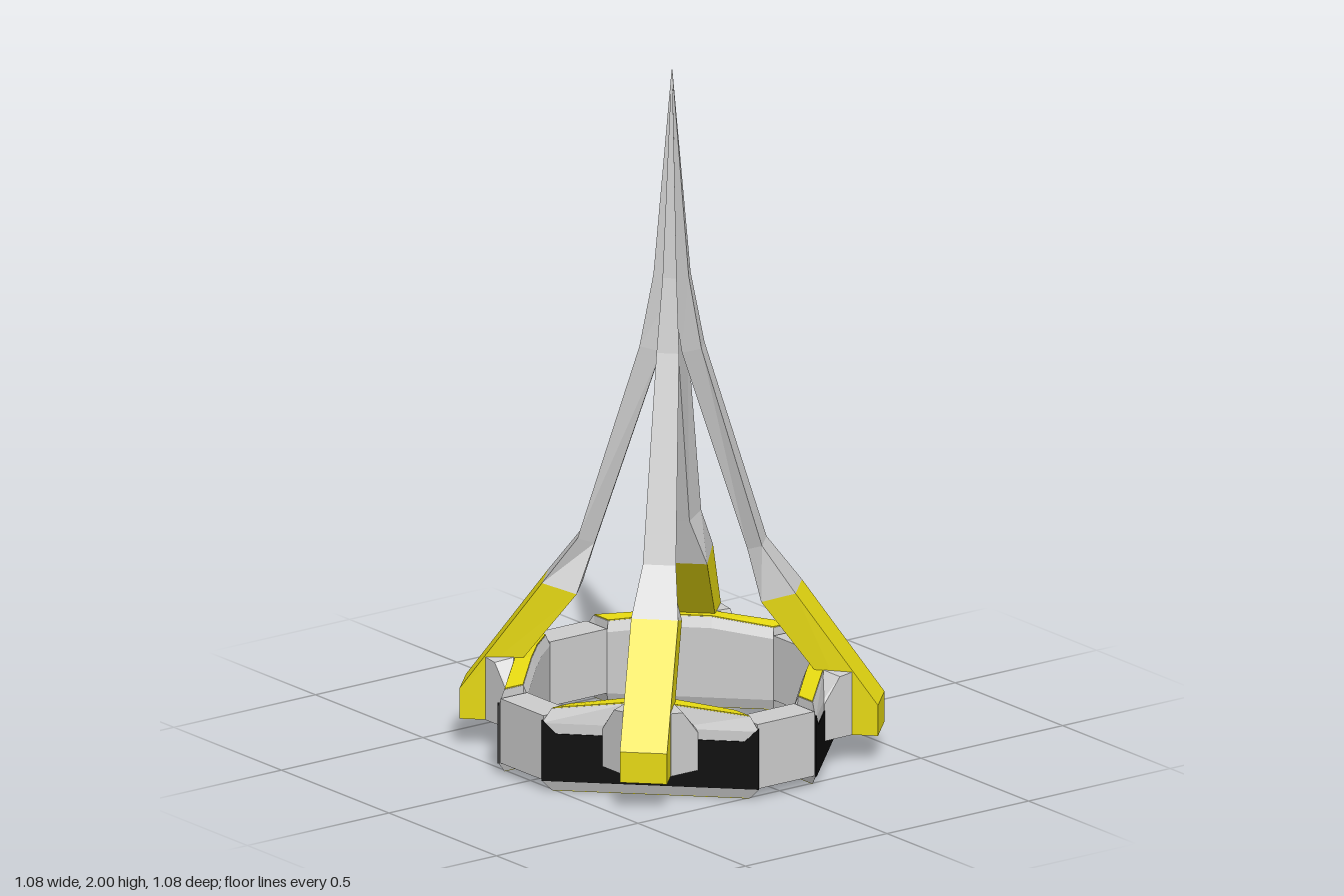
import * as THREE from 'three';
import { ConvexGeometry } from 'three/addons/geometries/ConvexGeometry.js';

// Flat-faced skin over a row of cross-section loops, closed at both ends.
function loft(loops) {
  const n = loops[0].length, tris = [];
  for (let s = 0; s < loops.length - 1; s++) {
    for (let i = 0; i < n; i++) {
      const j = (i + 1) % n, a = loops[s], b = loops[s + 1];
      tris.push([a[i], a[j], b[j]], [a[i], b[j], b[i]]);
    }
  }
  const first = loops[0], last = loops[loops.length - 1];
  for (let i = 1; i < n - 1; i++) {
    tris.push([first[0], first[i + 1], first[i]], [last[0], last[i], last[i + 1]]);
  }
  // Turn every face outward when the enclosed volume comes out negative
  let volume = 0;
  for (const [a, b, c] of tris) {
    volume += a[0] * (b[1] * c[2] - b[2] * c[1]) + a[1] * (b[2] * c[0] - b[0] * c[2]) + a[2] * (b[0] * c[1] - b[1] * c[0]);
  }
  if (volume < 0) tris.forEach((t) => t.reverse());
  const geo = new THREE.BufferGeometry();
  geo.setAttribute('position', new THREE.Float32BufferAttribute(tris.flat(2), 3));
  geo.computeVertexNormals();
  return geo;
}

// Four-sided leg section: outer depth, height, half width, then the same for the inner edge
const legLoop = ([uo, yo, wo, ui, yi, wi]) => [[-wo, yo, uo], [wo, yo, uo], [wi, yi, ui], [-wi, yi, ui]];

// Ring segment along x, mitred at the ends and slightly humped in the middle.
// Profile points are [depth, height, end inset].
function ringSegment(profile) {
  const end = profile.map(([u, y, e]) => [u - 0.1414 - e, y, u]);
  const mid = profile.map(([u, y]) => [0.06, y > 0.2 ? y + 0.025 : y, u]);
  const flip = (loop) => loop.map(([x, y, z]) => [-x, y, z]);
  return loft([flip(end), flip(mid), mid, end]);
}

export function createModel() {
  const model = new THREE.Group();
  model.name = 'spireTower';
  const paint = (name, color) => {
    const m = new THREE.MeshStandardMaterial({ color });
    m.name = name;
    return m;
  };
  const grey = paint('lightGrey', 0xcccccc);
  const yellow = paint('yellow', 0xe6d911);
  const black = paint('black', 0x0a0a0a);

  // Legs: yellow foot, then a grey shaft tapering to the shared tip
  const knee = [0.36, 0.49, 0.067, 0.262, 0.46, 0.064];
  const footGeo = loft([
    [0.594, 0.08, 0.067, 0.52, 0.08, 0.067],
    [0.594, 0.17, 0.067, 0.52, 0.13, 0.067],
    knee,
  ].map(legLoop));
  const shaftGeo = loft([
    knee,
    [0.262, 0.62, 0.047, 0.217, 0.6, 0.02],
    [0.088, 1.19, 0.032, 0.03, 1.17, 0.013],
    [0.05, 1.4, 0.02, 0.001, 1.34, 0.002],
    [0.001, 2, 0.001, 0, 2, 0.001],
  ].map(legLoop));

  // Diagonal ring segment with yellow strips above and below
  const segmentGeo = ringSegment([
    [0.378, 0.03, 0], [0.39, 0, 0.014], [0.438, 0, 0.014], [0.45, 0.03, 0],
    [0.45, 0.2, 0], [0.438, 0.24, 0.014], [0.39, 0.24, 0.014], [0.378, 0.21, 0],
  ]);
  const strip = (y) => ringSegment([
    [0.391, y, 0.016], [0.437, y, 0.016], [0.437, y + 0.004, 0.016], [0.391, y + 0.004, 0.016],
  ]);
  const topStripGeo = strip(0.239);
  const bottomStripGeo = strip(-0.002);

  // Black outer panel with raised corners
  const panelShape = new THREE.Shape([
    [-0.308, 0.03], [0.308, 0.03], [0.308, 0.21], [0.268, 0.17], [-0.268, 0.17], [-0.308, 0.21],
  ].map(([x, y]) => new THREE.Vector2(x, y)));
  const panelGeo = new THREE.ExtrudeGeometry(panelShape, { depth: 0.005, bevelEnabled: false });

  // Tapered housing joining foot and ring
  const housingPoints = [];
  for (const s of [-1, 1]) {
    for (const [x, y, z] of [
      [0.136, 0.08, 0.452], [0.136, 0.19, 0.452], [0.098, 0.26, 0.49], [0.068, 0.08, 0.52],
      [0.068, 0.265, 0.52], [0.068, 0.268, 0.44], [0.136, 0.08, 0.43], [0.136, 0.19, 0.44],
    ]) housingPoints.push(new THREE.Vector3(s * x, y, z));
  }
  const housingGeo = new ConvexGeometry(housingPoints);

  // Straight ring block
  const blockGeo = new THREE.BoxGeometry(0.2, 0.19, 0.095);

  for (let i = 0; i < 4; i++) {
    const corner = new THREE.Group();
    corner.name = 'corner' + (i + 1);
    corner.rotation.y = Math.PI / 4 + i * Math.PI / 2;
    const add = (name, geo, mat) => {
      const mesh = new THREE.Mesh(geo, mat);
      mesh.name = name;
      corner.add(mesh);
      return mesh;
    };
    add('foot', footGeo, yellow);
    add('shaft', shaftGeo, grey);
    add('ringSegment', segmentGeo, grey);
    add('topStrip', topStripGeo, yellow);
    add('bottomStrip', bottomStripGeo, yellow);
    add('outerPanel', panelGeo, black).position.z = 0.448;
    add('housing', housingGeo, grey);
    model.add(corner);

    const side = new THREE.Group();
    side.name = 'side' + (i + 1);
    side.rotation.y = i * Math.PI / 2;
    const block = new THREE.Mesh(blockGeo, grey);
    block.name = 'ringBlock';
    block.position.set(0, 0.125, 0.4825);
    side.add(block);
    model.add(side);
  }
  return model;
}
